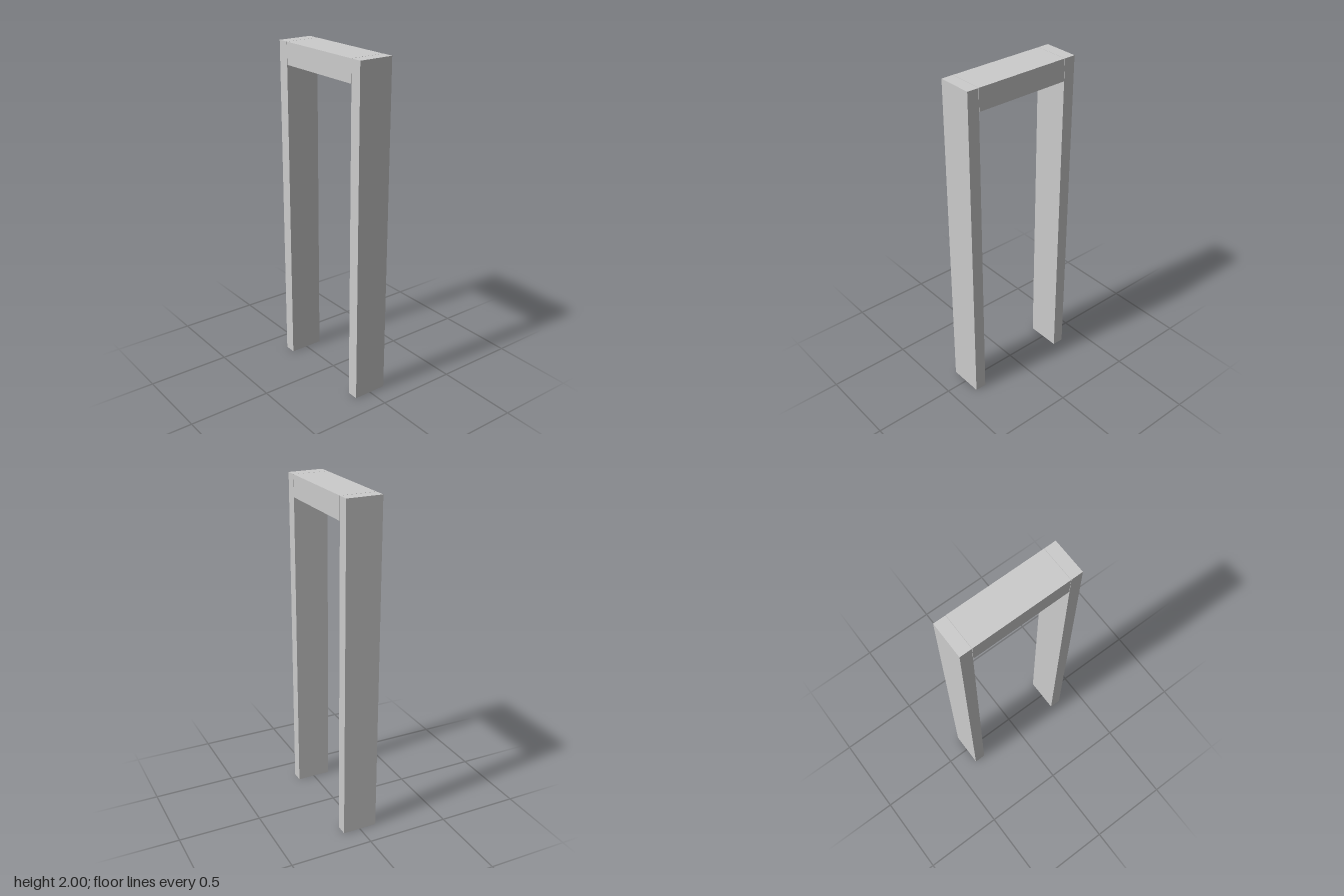
import * as THREE from 'three';

const HEIGHT = 2;
const DEPTH = 0.21;
const HALF_WIDTH = 0.362;
const POST_WIDTH = 0.07;
const LINTEL_HEIGHT = 0.13;
const JOINT = 0.002;

export function createModel() {
  const group = new THREE.Group();
  group.name = 'doorFrame';
  const material = new THREE.MeshStandardMaterial({ color: 0xcccccc });

  const addBox = (name, width, height, depth, x, y) => {
    const mesh = new THREE.Mesh(new THREE.BoxGeometry(width, height, depth), material);
    mesh.name = name;
    mesh.position.set(x, y, 0);
    group.add(mesh);
  };

  // Upright posts, mirrored left and right
  for (const side of [1, -1]) {
    const name = side > 0 ? 'leftPost' : 'rightPost';
    addBox(name, POST_WIDTH, HEIGHT, DEPTH, side * (HALF_WIDTH - POST_WIDTH / 2), HEIGHT / 2);
  }

  // Lintel between the posts, with a hairline joint at each end
  const span = 2 * (HALF_WIDTH - POST_WIDTH - JOINT);
  addBox('lintel', span, LINTEL_HEIGHT, DEPTH, 0, HEIGHT - LINTEL_HEIGHT / 2);

  return group;
}
